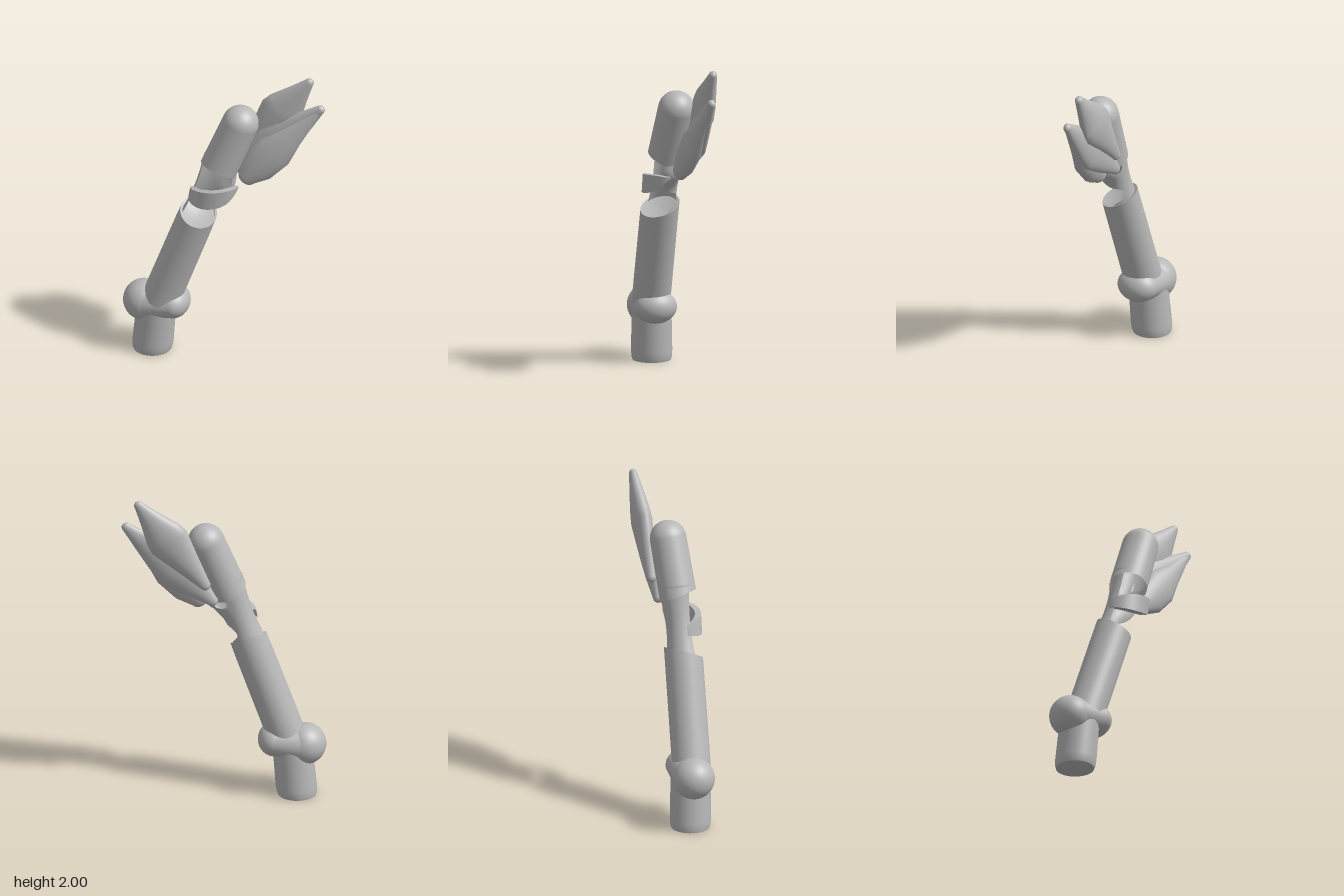
import * as THREE from 'three';

const V = (x, y, z) => new THREE.Vector3(x, y, z);
const SEG = 48;

// Surface through a grid of points; wrap closes each row, keep can drop cells to make holes
function surface(rows, wrap = true, keep = () => true) {
  const n = rows[0].length, pos = [], idx = [];
  rows.forEach(r => r.forEach(p => pos.push(p.x, p.y, p.z)));
  for (let i = 0; i < rows.length - 1; i++) {
    for (let j = 0; j < (wrap ? n : n - 1); j++) {
      if (!keep(rows[i][j])) continue;
      const k = (j + 1) % n;
      const a = i * n + j, b = i * n + k, c = (i + 1) * n + k, d = (i + 1) * n + j;
      idx.push(a, b, c, a, c, d);
    }
  }
  const g = new THREE.BufferGeometry();
  g.setAttribute('position', new THREE.Float32BufferAttribute(pos, 3));
  g.setIndex(idx);
  g.computeVertexNormals();
  return g;
}

// Side, back and axis directions for a straight part
function frame(a, b) {
  const w = b.clone().sub(a).normalize();
  const u = V(0, 1, 0).cross(V(0, 0, 1)).addScaledVector(w, -w.x).normalize();
  return { u, v: w.clone().cross(u), w };
}

// Ring of points; lift slides each point along the axis for a slanted or curved end
function ring(c, f, ru, rv, lift = () => 0) {
  return Array.from({ length: SEG }, (_, j) => {
    const t = (j / SEG) * Math.PI * 2;
    return c.clone().addScaledVector(f.u, ru * Math.cos(t))
      .addScaledVector(f.v, rv * Math.sin(t)).addScaledVector(f.w, lift(t));
  });
}

// Rounded spindle; stations are [distance along, half width, half depth]
function spindle(a, b, stations) {
  const f = frame(a, b), len = a.distanceTo(b), rows = [];
  const at = d => a.clone().addScaledVector(f.w, d);
  const dome = (d, wd, dp, dir) => {
    for (let i = 0; i <= 6; i++) {
      const q = (i / 6) * Math.PI / 2, s = dir < 0 ? Math.sin(q) : Math.cos(q);
      const h = dir < 0 ? Math.cos(q) : Math.sin(q);
      rows.push(ring(at(d + dir * dp * h), f, wd * s, dp * s));
    }
  };
  const first = stations[0], last = stations[stations.length - 1];
  dome(first[0] * len, first[1], first[2], -1);
  stations.slice(1, -1).forEach(([d, wd, dp]) => rows.push(ring(at(d * len), f, wd, dp)));
  dome(last[0] * len, last[1], last[2], 1);
  return surface(rows);
}

export function createModel() {
  const group = new THREE.Group();
  const grey = new THREE.MeshStandardMaterial({ color: 0xb8b8b8, side: THREE.DoubleSide });
  grey.name = 'plain grey';
  const add = (name, geometry) => {
    const m = new THREE.Mesh(geometry, grey);
    m.name = name;
    group.add(m);
    return m;
  };
  const frontness = t => -Math.sin(t);
  const curve = pts => new THREE.SplineCurve(pts.map(p => new THREE.Vector2(...p)));

  // Base post with a flat underside and softened bottom edge
  const flat = { u: V(1, 0, 0), v: V(0, 0, -1), w: V(0, 1, 0) };
  const post = [[0, 0], [0, 0.118], [0, 0.118], [0.02, 0.124], [0.06, 0.127], [0.36, 0.122]];
  add('basePost', surface(post.map(([y, r]) =>
    ring(V(-0.45 + y * 0.09, y, -0.016 + y * 0.03), flat, r, r))));

  // Joint: large ball, smaller knob and the bridge between them
  const big = V(-0.5, 0.335, -0.008), small = V(-0.312, 0.357, 0.0);
  add('jointBall', new THREE.SphereGeometry(0.13, 40, 28)).position.copy(big);
  const knob = add('jointKnob', new THREE.SphereGeometry(0.104, 40, 28));
  knob.position.copy(small);
  knob.scale.z = 1.27;
  const across = { u: V(0, 1, 0), v: V(0, 0, 1), w: V(1, 0, 0) };
  add('jointBridge', surface([ring(big, across, 0.12, 0.129), ring(small, across, 0.102, 0.132)]));

  // Lower limb with a dipping rim and a shallow bowl closing its top
  const l0 = V(-0.39, 0.37, 0.008), l1 = V(-0.148, 1.03, 0.025);
  const lf = frame(l0, l1);
  const rim = k => t => -0.04 * k * frontness(t);
  const rimRing = ring(l1, lf, 0.115, 0.118, rim(1));
  add('lowerLimb', surface([
    ring(l0, lf, 0.119, 0.119), ring(l0.clone().lerp(l1, 0.85), lf, 0.117, 0.118), rimRing,
  ]));
  const sink = (d, r, k) => ring(l1.clone().addScaledVector(lf.w, -d), lf, r, r, rim(k));
  add('lowerLimbTop', surface([rimRing, sink(0.012, 0.08, 0.7), sink(0.02, 0.04, 0.35),
    sink(0.022, 0, 0)]));

  // Neck shell: open at the front, scooped low on one side, pinched, with a round hole
  const n0 = V(-0.175, 0.95, 0.025), n1 = V(-0.008, 1.42, 0.02);
  const nf = frame(n0, n1);
  const edge = curve([[0, 2], [0.17, 1.95], [0.29, 1.66], [0.4, 1.72],
    [0.5, 2.02], [0.7, 2.12], [0.85, 2.12], [1, 2.12]]);
  const neckRows = [];
  for (let i = 0; i <= 120; i++) {
    const e = edge.getPoint(i / 120), row = [];
    const pinch = 0.11 - 0.021 * Math.sin(Math.PI * e.x);
    const flare = 0.043 * Math.exp(-(((e.x - 0.74) / 0.17) ** 2));
    for (let j = 0; j <= 120; j++) {
      const q = Math.PI * THREE.MathUtils.lerp(e.y, 0.84, j / 120);
      const r = pinch + flare * Math.max(0, Math.cos(q)) ** 2;
      row.push(n0.clone().lerp(n1, e.x).addScaledVector(nf.u, r * Math.cos(q))
        .addScaledVector(nf.v, -r * Math.sin(q)));
    }
    neckRows.push(row);
  }
  add('neckShell', surface(neckRows, false,
    p => ((p.x - 0.024) / 0.044) ** 2 + ((p.y - 1.286) / 0.03) ** 2 > 1));

  // Thick band sweeping around the front of the neck
  const low = curve([[0, 1.16], [0.25, 1.138], [0.55, 1.135], [0.75, 1.165], [1, 1.245]]);
  const high = curve([[0, 1.215], [0.25, 1.238], [0.55, 1.256], [0.75, 1.266], [1, 1.257]]);
  const bandRows = [];
  for (let i = 0; i <= 40; i++) {
    const t = i / 40, q = Math.PI * (1 - t);
    const a = low.getPoint(t).y, b = high.getPoint(t).y;
    const at = (r, y) => V(-0.05 + (r + 0.01) * Math.cos(q) + (y - 1.2) * 0.2, y,
      0.035 + (r - 0.012) * Math.sin(q));
    const loop = [at(0.138, a), at(0.138, b), at(0.1, b), at(0.1, a)];
    // doubled corners keep the band edges crisp
    bandRows.push(loop.flatMap((p, k) => [p, loop[(k + 1) % 4].clone()]).reverse());
  }
  add('neckBand', surface(bandRows));

  // Upper limb: open below with a rim raised at the front, domed on top
  const u0 = V(-0.024, 1.357, 0.025), u1 = V(0.11, 1.688, 0.0);
  const uf = frame(u0, u1);
  const upper = [ring(u0, uf, 0.117, 0.116, t => 0.024 * frontness(t))];
  upper.push(ring(u0.clone().lerp(u1, 0.25), uf, 0.116, 0.115));
  for (let i = 0; i <= 14; i++) {
    const q = (i / 14) * Math.PI / 2, r = 0.113 * Math.cos(q);
    upper.push(ring(u1.clone().addScaledVector(uf.w, 0.113 * Math.sin(q)), uf, r, r));
  }
  add('upperLimb', surface(upper));

  // Pointed blades fanning out behind the upper limb
  add('upperBlade', spindle(V(0.095, 1.42, -0.105), V(0.537, 1.995, -0.108), [
    [0.04, 0.035, 0.035], [0.3, 0.085, 0.052], [0.53, 0.132, 0.06], [0.62, 0.122, 0.056],
    [0.8, 0.07, 0.042], [0.965, 0.028, 0.025]]));
  add('lowerBlade', spindle(V(0.045, 1.3, -0.075), V(0.62, 1.83, -0.074), [
    [0.04, 0.035, 0.033], [0.25, 0.09, 0.045], [0.46, 0.13, 0.048], [0.6, 0.105, 0.045],
    [0.8, 0.064, 0.035], [0.965, 0.028, 0.025]]));
  add('lowerBladeLobe', spindle(V(0.12, 1.27, -0.01), V(0.6, 1.81, -0.072), [
    [0.06, 0.06, 0.045], [0.2, 0.105, 0.058], [0.42, 0.115, 0.065], [0.62, 0.075, 0.05],
    [0.95, 0.026, 0.024]]));
  return group;
}
